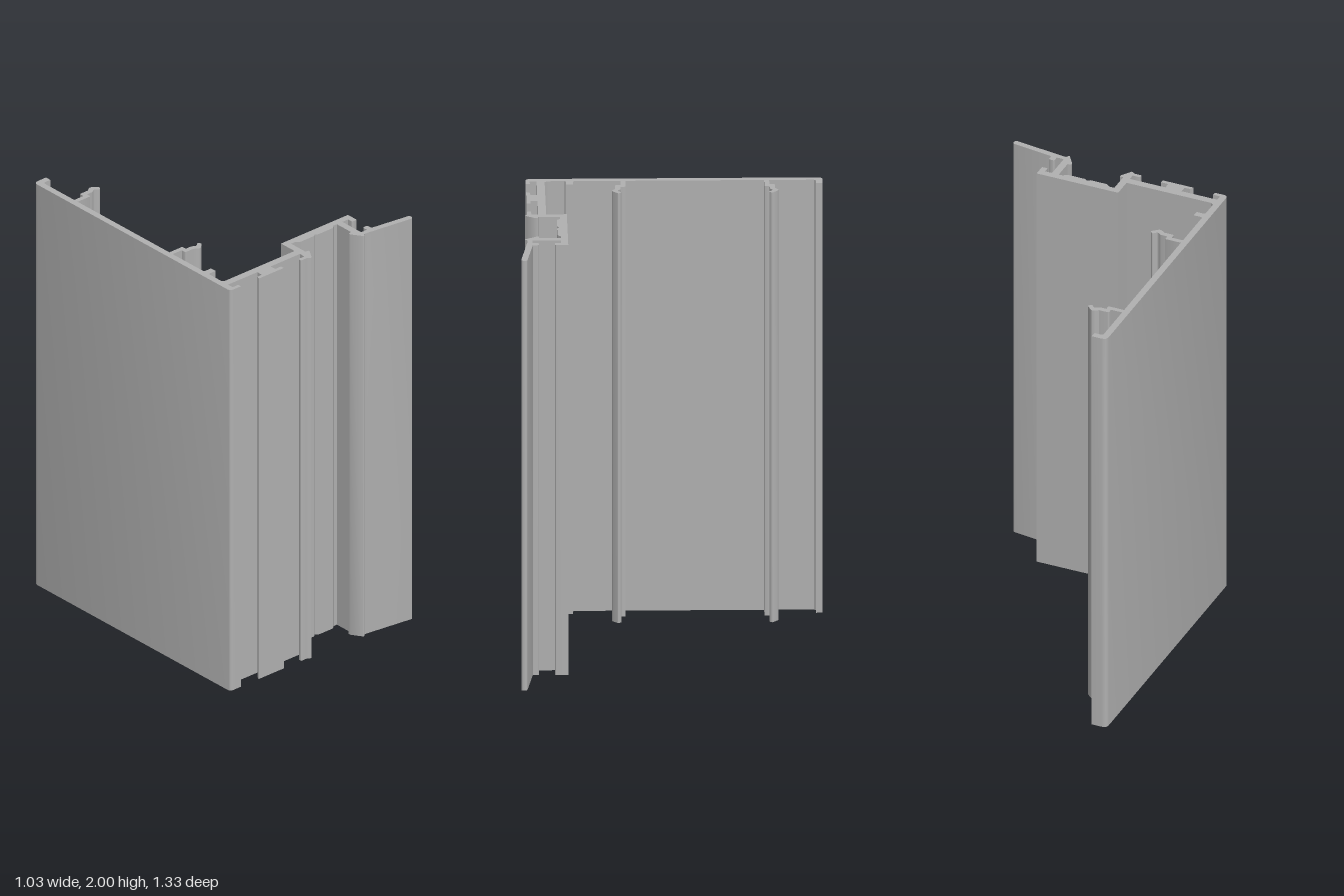
import * as THREE from 'three';
import { toCreasedNormals } from 'three/addons/utils/BufferGeometryUtils.js';

const HEIGHT = 2;

// Closed outline from [x, z, cornerRadius] points, seen from above
function outline(points) {
  const shape = new THREE.Shape();
  const n = points.length;
  const toward = (a, b, r) => {
    const len = Math.hypot(b[0] - a[0], b[1] - a[1]);
    const t = Math.min(r / len, 0.49);
    return [a[0] + (b[0] - a[0]) * t, -(a[1] + (b[1] - a[1]) * t)];
  };
  points.forEach((p, i) => {
    const r = p[2] || 0;
    const start = toward(p, points[(i + n - 1) % n], r);
    if (i === 0) shape.moveTo(...start);
    else shape.lineTo(...start);
    if (r > 0) shape.quadraticCurveTo(p[0], -p[1], ...toward(p, points[(i + 1) % n], r));
  });
  shape.closePath();
  return shape;
}

export function createModel() {
  const model = new THREE.Group();
  model.name = 'extrudedProfile';
  const aluminium = new THREE.MeshStandardMaterial({ color: 0xb0b0b0 });
  aluminium.name = 'aluminium grey';

  function bar(name, points) {
    const geo = new THREE.ExtrudeGeometry(outline(points), {
      depth: HEIGHT, bevelEnabled: false, curveSegments: 4,
    });
    geo.rotateX(-Math.PI / 2);
    const mesh = new THREE.Mesh(toCreasedNormals(geo, 0.6), aluminium);
    mesh.name = name;
    model.add(mesh);
  }

  // Long wall with a return lip at the back and a foot at the front
  bar('sideWall', [
    [-0.518, -0.667, 0.025], [-0.447, -0.667], [-0.447, -0.638], [-0.48, -0.638],
    [-0.488, -0.63], [-0.488, 0.612], [-0.455, 0.612], [-0.455, 0.63], [-0.518, 0.63, 0.02],
  ]);

  // Short lug on the inside of the wall
  bar('wallLug', [
    [-0.488, 0.415], [-0.482, 0.423], [-0.447, 0.423], [-0.447, 0.453], [-0.482, 0.453], [-0.488, 0.461],
  ]);

  // Two facing snap clips, mirrored about the middle of the cavity
  const clip = [
    [-0.488, -0.434], [-0.435, -0.434], [-0.435, -0.458, 0.006], [-0.388, -0.458],
    [-0.362, -0.477, 0.014], [-0.328, -0.445, 0.006], [-0.342, -0.43, 0.006],
    [-0.362, -0.449, 0.01], [-0.38, -0.435, 0.005], [-0.413, -0.435], [-0.413, -0.412, 0.005], [-0.488, -0.412],
  ];
  bar('backClip', clip);
  bar('frontClip', clip.map(([x, z, r]) => [x, -0.218 - z, r]));

  // Front web joining the wall to the channel
  bar('frontWeb', [
    [-0.488, 0.535], [-0.476, 0.547], [-0.07, 0.547], [-0.07, 0.582], [-0.488, 0.582],
  ]);

  // T-shaped rail on the outside of the web
  bar('frontRail', [
    [-0.318, 0.582], [-0.24, 0.582], [-0.24, 0.612], [-0.206, 0.612], [-0.206, 0.63],
    [-0.352, 0.63], [-0.344, 0.614], [-0.318, 0.612],
  ]);

  // Raised channel: floor with a grooved pad and a right-hand lip
  bar('channelFloor', [
    [-0.07, 0.457], [0.32, 0.457], [0.32, 0.515, 0.006], [0.293, 0.515, 0.006], [0.293, 0.488],
    [0.21, 0.488], [0.192, 0.502], [0.107, 0.502], [0.095, 0.492], [0.083, 0.502],
    [0.003, 0.502], [-0.012, 0.488], [-0.07, 0.488],
  ]);

  // Left leg with a barbed end and a small outward hook
  bar('leftChannelLeg', [
    [-0.07, 0.488], [-0.038, 0.488], [-0.038, 0.582], [-0.022, 0.584], [-0.022, 0.593],
    [-0.054, 0.642, 0.006], [-0.07, 0.63], [-0.105, 0.63, 0.005], [-0.105, 0.612, 0.005], [-0.07, 0.612],
  ]);

  // Right leg with a mirrored barbed end
  bar('rightChannelLeg', [
    [0.228, 0.488], [0.26, 0.488], [0.26, 0.632], [0.247, 0.648, 0.006],
    [0.212, 0.596], [0.212, 0.584], [0.228, 0.582],
  ]);

  // Slanted sealing fin and the nub above it
  bar('sealingFin', [
    [0.26, 0.612], [0.32, 0.612], [0.518, 0.64, 0.012], [0.514, 0.667, 0.012], [0.275, 0.634], [0.26, 0.634],
  ]);
  bar('finNub', [
    [0.293, 0.612], [0.293, 0.585, 0.007], [0.32, 0.585, 0.007], [0.32, 0.612],
  ]);

  return model;
}
